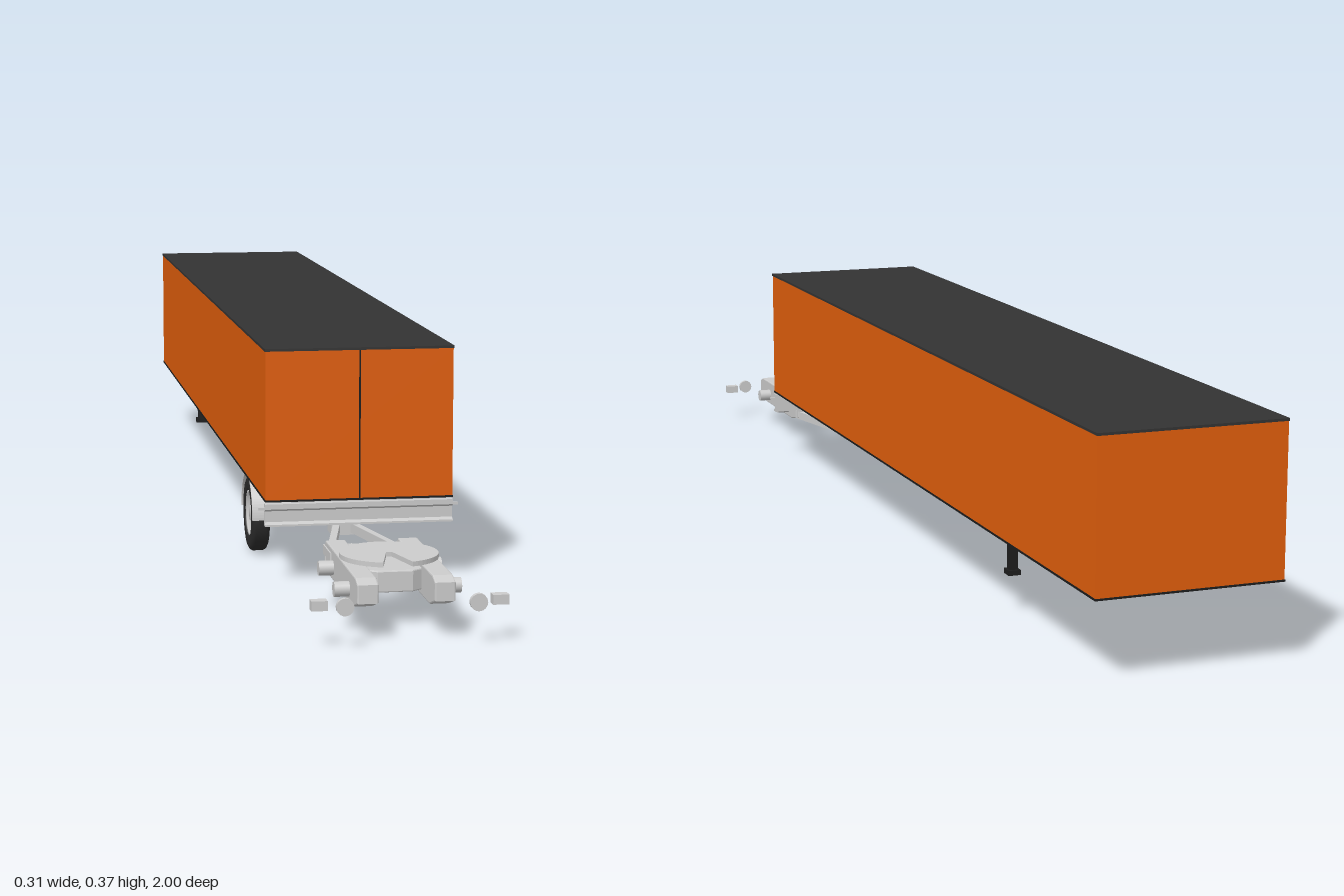
import * as THREE from 'three';

const mat = (color, extra = {}) => new THREE.MeshStandardMaterial({ color, ...extra });

export function createModel() {
  const root = new THREE.Group();
  const grey = mat(0xcccccc), orange = mat(0xe05e0c), roofMat = mat(0x333333);
  const black = mat(0x1c1c1c), rubber = mat(0x2b2b2b);
  const greySheet = mat(0xcccccc, { side: THREE.DoubleSide });

  const add = (name, geo, material, x = 0, y = 0, z = 0) => {
    const m = new THREE.Mesh(geo, material);
    m.name = name;
    m.position.set(x, y, z);
    root.add(m);
    return m;
  };
  // box given by its extents
  const box = (name, material, x0, x1, y0, y1, z0, z1) => add(name,
    new THREE.BoxGeometry(x1 - x0, y1 - y0, z1 - z0), material,
    (x0 + x1) / 2, (y0 + y1) / 2, (z0 + z1) / 2);
  const poly = pts => new THREE.Shape(pts.map(p => new THREE.Vector2(...p)));
  const extrude = (shape, depth, bevel = 0) => new THREE.ExtrudeGeometry(shape, {
    depth, bevelEnabled: bevel > 0, bevelSize: bevel, bevelThickness: bevel, bevelSegments: 2, curveSegments: 24 });
  // horizontal plate: shape drawn in (x, z), thickened upward from y
  const plate = (name, shape, y, height, bevel = 0) => {
    const m = add(name, extrude(shape, height, bevel), grey, 0, y + height, 0);
    m.rotation.x = Math.PI / 2;
    return m;
  };
  // square bar between two points
  const bar = (name, material, a, b, w, h) => {
    const p = new THREE.Vector3(...a), q = new THREE.Vector3(...b);
    const m = add(name, new THREE.BoxGeometry(w, h, p.distanceTo(q)), material);
    m.position.copy(p).lerp(q, 0.5);
    m.lookAt(q);
    return m;
  };

  // cargo body
  box('cargoBody', orange, -0.146, 0.146, 0.131, 0.361, -0.999, 0.587);
  box('roof', roofMat, -0.147, 0.147, 0.361, 0.365, -1, 0.588);
  box('floor', black, -0.147, 0.147, 0.128, 0.131, -1, 0.588);
  box('doorSeam', black, -0.0012, 0.0012, 0.131, 0.361, 0.586, 0.588);

  // channel bumper under the doors
  const channel = poly([[0, 0.09], [0.012, 0.09], [0.012, 0.093], [0.004, 0.096], [0.004, 0.113],
    [0.012, 0.117], [0.012, 0.125], [0, 0.125]]);
  const bumper = add('bumper', extrude(channel, 0.294), grey, 0.147, 0, 0.577);
  bumper.rotation.y = -Math.PI / 2;

  for (const s of [-1, 1]) {
    box('bumperMarker', grey, s * 0.151 - 0.005, s * 0.151 + 0.005, 0.115, 0.119, 0.578, 0.584);
    box('bumperHanger', grey, s * 0.09 - 0.006, s * 0.09 + 0.006, 0.118, 0.129, 0.565, 0.58);

    // floor rail, deep in the middle and shallow to the nose
    const rail = add('floorRail', extrude(poly([[-0.967, 0.129], [-0.967, 0.126], [-0.66, 0.124],
      [-0.64, 0.12], [-0.08, 0.12], [-0.08, 0.129]]), 0.008), grey, s * 0.063 + 0.004, 0, 0);
    rail.rotation.y = -Math.PI / 2;
    rail.scale.z = 1;

    // landing leg
    box('landingLeg', black, s * 0.11 - 0.0065, s * 0.11 + 0.0065, 0.068, 0.13, -0.607, -0.594);
    box('landingFoot', black, s * 0.11 - 0.01, s * 0.11 + 0.01, 0.06, 0.068, -0.611, -0.59);
  }
  box('landingCrossbar', black, -0.11, 0.11, 0.108, 0.115, -0.604, -0.597);

  // kingpin
  add('kingpinPlate', new THREE.CylinderGeometry(0.024, 0.024, 0.006, 24), black, 0, 0.126, -0.83);
  add('kingpinCone', new THREE.CylinderGeometry(0.02, 0.007, 0.014, 24), black, 0, 0.117, -0.83);
  add('kingpin', new THREE.CylinderGeometry(0.006, 0.006, 0.012, 16), black, 0, 0.105, -0.83);

  // single road wheel
  const wheel = new THREE.Group();
  wheel.name = 'wheel';
  wheel.position.set(-0.126, 0.062, 0.337);
  wheel.rotation.z = Math.PI / 2;
  const lathe = (name, pts, material) => {
    const m = new THREE.Mesh(new THREE.LatheGeometry(pts.map(p => new THREE.Vector2(...p)), 36), material);
    m.name = name;
    wheel.add(m);
  };
  lathe('tyre', [[0.036, -0.012], [0.042, -0.0145], [0.055, -0.0145], [0.06, -0.012], [0.062, -0.008],
    [0.062, 0.008], [0.06, 0.012], [0.055, 0.0145], [0.042, 0.0145], [0.036, 0.012], [0.036, -0.012]], rubber);
  lathe('rim', [[0, -0.011], [0.012, -0.011], [0.014, -0.004], [0.028, -0.004], [0.034, -0.012], [0.037, -0.013],
    [0.037, 0.013], [0.034, 0.012], [0.028, 0.005], [0.014, 0.005], [0.012, 0.011], [0, 0.011]], greySheet);
  for (let i = 0; i < 8; i++) {
    const a = i * Math.PI / 4;
    const nut = new THREE.Mesh(new THREE.CylinderGeometry(0.002, 0.002, 0.016, 6), grey);
    nut.name = 'wheelNut';
    nut.position.set(Math.cos(a) * 0.021, 0, Math.sin(a) * 0.021);
    wheel.add(nut);
  }
  root.add(wheel);

  // arched mudguard
  const arch = new THREE.Shape();
  arch.absarc(0, 0, 0.068, 0, Math.PI, false);
  arch.absarc(0, 0, 0.065, Math.PI, 0, true);
  const guard = add('mudguard', extrude(arch, 0.064), greySheet, -0.078, 0.062, 0.337);
  guard.rotation.y = -Math.PI / 2;

  // drawbar bracket: tapered trough hanging from the floor
  add('drawbarBracket', extrude(poly([[-0.065, 0.128], [-0.065, 0.1], [-0.03, 0.066], [0.03, 0.066],
    [0.065, 0.1], [0.065, 0.128]]), 0.034), grey, 0, 0, 0.412);
  box('drawbarPivot', grey, -0.022, 0.022, 0.046, 0.068, 0.42, 0.46);

  // coupling frame plate with a notched rear edge
  plate('couplingPlate', poly([[-0.072, 0.678], [-0.028, 0.678], [0, 0.7], [0.028, 0.678], [0.072, 0.678],
    [0.072, 0.74], [0.045, 0.76], [0.035, 0.73], [0, 0.705], [-0.035, 0.73], [-0.045, 0.76], [-0.072, 0.74]]),
    0.066, 0.014);
  plate('turntableBase', poly([[-0.045, 0.77], [0.045, 0.77], [0.045, 0.86], [0.025, 0.875],
    [-0.025, 0.875], [-0.045, 0.86]]), 0.052, 0.028, 0.002);

  for (const s of [-1, 1]) {
    bar('drawbar', grey, [s * 0.066, 0.057, 0.695], [s * 0.01, 0.057, 0.44], 0.011, 0.015);

    // side beam with a tapered tail
    const beam = add('sideBeam', extrude(poly([[0.68, 0.054], [0.73, 0.044], [0.92, 0.044], [0.957, 0.056],
      [0.957, 0.08], [0.94, 0.086], [0.69, 0.086], [0.68, 0.08]]), 0.026, 0.002), grey, s * 0.055 + 0.013, 0, 0);
    beam.rotation.y = -Math.PI / 2;

    // axle stubs
    for (const z of [0.755, 0.89]) {
      const stub = add('axleStub', new THREE.CylinderGeometry(0.011, 0.011, 0.024, 20), grey, s * 0.08, 0.061, z);
      stub.rotation.z = Math.PI / 2;
    }

    // end lamps
    const lamp = add('roundLamp', new THREE.CylinderGeometry(0.0125, 0.0125, 0.007, 24), grey, s * 0.094, 0.061, 0.9965);
    lamp.rotation.x = Math.PI / 2;
    box('boxLamp', grey, s * 0.128 - 0.0115, s * 0.128 + 0.0115, 0.054, 0.068, 0.972, 0.988);
  }

  // turntable disc with a V-shaped entry slot to the front
  const disc = new THREE.Shape();
  const r = 0.072, gap = 0.3, mid = Math.PI / 2;
  disc.moveTo(0.004, 0.826);
  disc.lineTo(Math.cos(mid - gap) * r, 0.826 + Math.sin(mid - gap) * r);
  disc.absarc(0, 0.826, r, mid - gap, mid + gap - Math.PI * 2, true);
  disc.lineTo(-0.004, 0.826);
  disc.closePath();
  plate('turntable', disc, 0.091, 0.007);
  for (const s of [-1, 1]) box('turntableMount', grey, s * 0.045 - 0.014, s * 0.045 + 0.014, 0.08, 0.092, 0.805, 0.845);

  return root;
}
